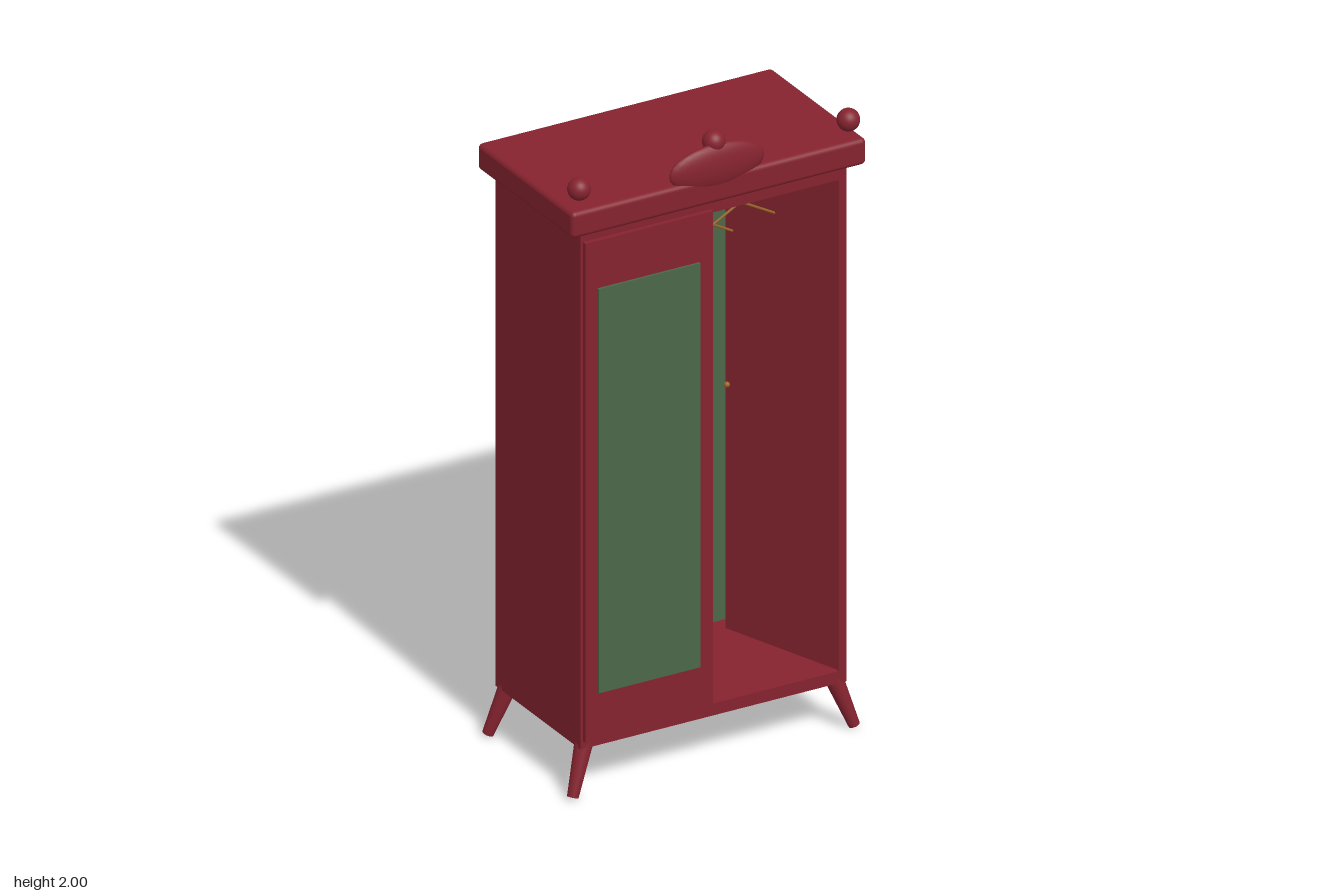
import * as THREE from 'three';
import { RoundedBoxGeometry } from 'three/addons/geometries/RoundedBoxGeometry.js';

export function createModel() {
  const root = new THREE.Group();
  root.name = 'wardrobe';
  const mat = (name, color) => {
    const m = new THREE.MeshStandardMaterial({ color });
    m.name = name;
    return m;
  };
  const red = mat('redWood', 0x85232f);
  const green = mat('greenPanel', 0x4b6747);
  const brass = mat('brass', 0x9a6428);

  const add = (name, geo, material, x = 0, y = 0, z = 0, parent = root) => {
    const m = new THREE.Mesh(geo, material);
    m.name = name;
    m.position.set(x, y, z);
    parent.add(m);
    return m;
  };
  // Box given by its min and max along each axis
  const box = (name, material, x0, x1, y0, y1, z0, z1) =>
    add(name, new THREE.BoxGeometry(x1 - x0, y1 - y0, z1 - z0), material,
      (x0 + x1) / 2, (y0 + y1) / 2, (z0 + z1) / 2);
  // Tapered round bar between two points
  const bar = (name, a, b, ra, rb, material, sides = 8, parent = root) => {
    const dir = b.clone().sub(a);
    const m = add(name, new THREE.CylinderGeometry(rb, ra, dir.length(), sides), material, 0, 0, 0, parent);
    m.position.copy(a).add(b).multiplyScalar(0.5);
    m.quaternion.setFromUnitVectors(new THREE.Vector3(0, 1, 0), dir.normalize());
    return m;
  };
  const v = (x, y, z) => new THREE.Vector3(x, y, z);

  // Hollow carcass
  const back = -0.25, front = 0.228;
  box('leftSide', red, 0.412, 0.437, 0.15, 1.782, back, front);
  box('rightSide', red, -0.437, -0.412, 0.15, 1.782, back, front);
  box('backBoard', red, -0.412, 0.412, 0.15, 1.782, back, back + 0.02);
  box('floorBoard', red, -0.412, 0.412, 0.15, 0.188, back + 0.02, front);
  box('ceilingBoard', red, -0.412, 0.412, 1.74, 1.782, back + 0.02, front);
  box('backLining', green, -0.412, 0.412, 0.188, 1.74, back + 0.02, back + 0.025);

  // Closed door with its inset panel
  box('closedDoor', red, -0.43, -0.01, 0.175, 1.752, front, 0.242);
  box('doorPanel', green, -0.39, -0.055, 0.325, 1.602, 0.242, 0.25);

  // Other door, swung inward
  const door = new THREE.Group();
  door.name = 'openDoor';
  door.position.set(0.412, 0, 0.225);
  door.rotation.y = -1.235;
  root.add(door);
  add('doorLeaf', new THREE.BoxGeometry(0.42, 1.548, 0.014), red, -0.21, 0.964, -0.007, door);
  add('doorKnob', new THREE.SphereGeometry(0.009, 12, 8), brass, -0.408, 0.966, 0.008, door);

  // Cornice, crest and ball finials
  add('cornice', new RoundedBoxGeometry(0.97, 0.083, 0.536, 4, 0.015), red, 0, 1.827, -0.005);
  const crest = add('crest', new THREE.SphereGeometry(1, 32, 16), red, 0, 1.896, 0.246);
  crest.scale.set(0.156, 0.07, 0.026);
  const ball = new THREE.SphereGeometry(0.034, 24, 16);
  add('crestBall', ball, red, 0, 1.966, 0.23);
  for (const s of [-1, 1]) add('finialBall', ball, red, s * 0.443, 1.924, 0.229);

  // Splayed tapered legs
  for (const sx of [-1, 1]) {
    for (const [zTop, zFoot] of [[0.2, 0.228], [-0.222, -0.249]]) {
      bar('leg', v(sx * 0.463, 0.006, zFoot), v(sx * 0.408, 0.165, zTop), 0.017, 0.028, red, 16);
    }
  }

  // Hanging rail and two wire hangers
  const hangZ = 0, railY = 1.677;
  bar('hangingRail', v(-0.412, railY, hangZ), v(0.325, railY, hangZ), 0.006, 0.006, brass, 10);
  for (const x of [0.043, 0.222]) {
    const hanger = new THREE.Group();
    hanger.name = 'hanger';
    hanger.position.set(x, 0, hangZ);
    root.add(hanger);
    bar('hangerHook', v(0, 1.62, 0), v(0, railY, 0), 0.003, 0.003, brass, 6, hanger);
    for (const s of [-1, 1]) {
      bar('hangerArm', v(0, 1.622, 0), v(s * 0.153, 1.537, 0), 0.004, 0.004, brass, 6, hanger);
    }
  }

  // Necktie: four-sided ridged profile, flattened front to back
  const profile = [[0, 1.165], [0.037, 1.235], [0.019, 1.6], [0.022, 1.612], [0, 1.613]]
    .map(([r, y]) => new THREE.Vector2(r, y));
  const tieGeo = new THREE.LatheGeometry(profile, 4).toNonIndexed();
  tieGeo.scale(1, 1, 0.5);
  tieGeo.computeVertexNormals();
  add('necktie', tieGeo, red, 0.043, 0, hangZ + 0.012);

  return root;
}
